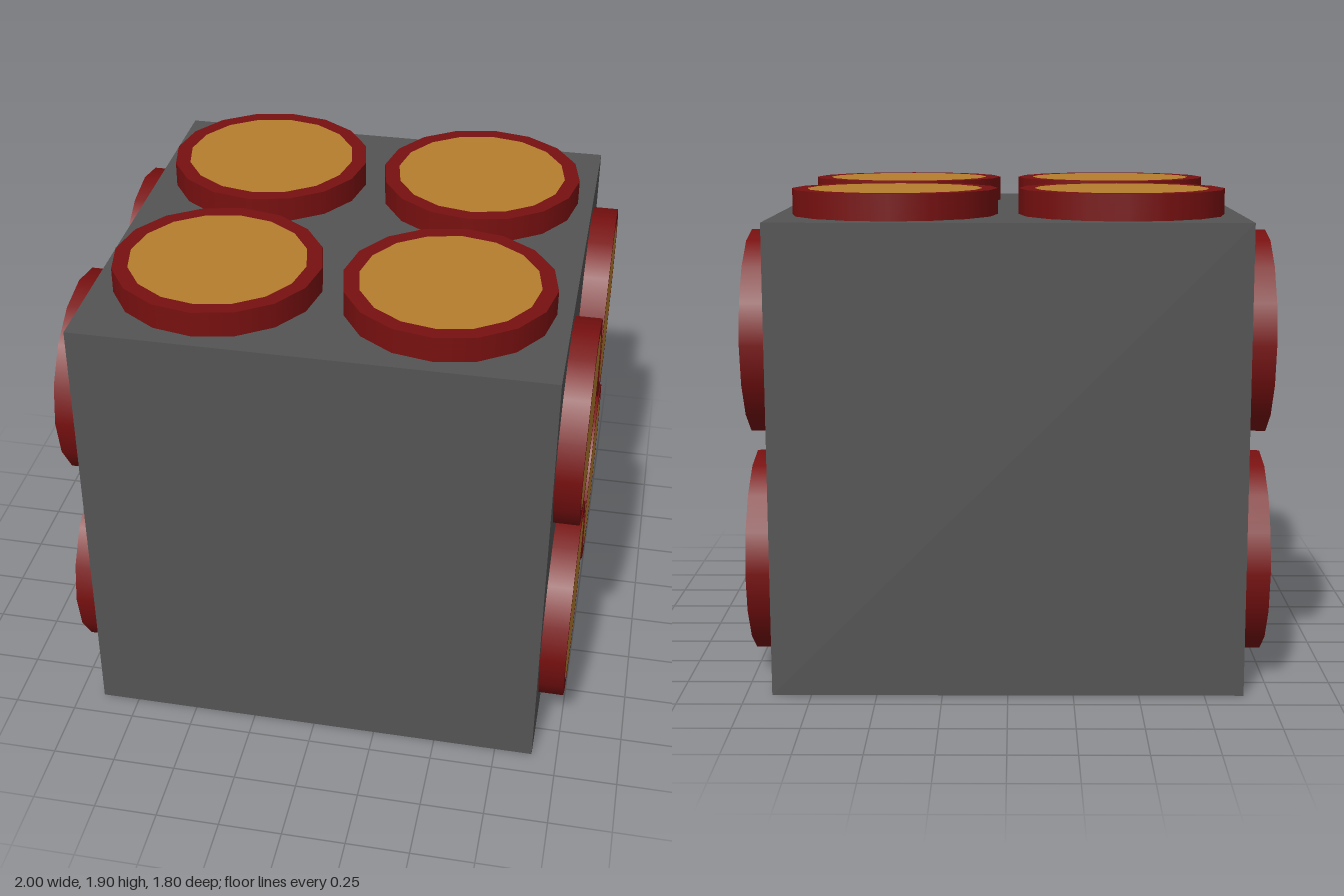
import * as THREE from 'three';

const BODY = 1.8, OUTER = 0.4, INNER = 0.34, DEPTH = 0.1, SPACING = 0.44, SIDES = 16;

const bodyMat = new THREE.MeshStandardMaterial({ color: 0x545454 });
const rimMat = new THREE.MeshStandardMaterial({ color: 0x781010 });
const faceMat = new THREE.MeshStandardMaterial({ color: 0xb47e2e });

function part(name, geometry, material) {
  const mesh = new THREE.Mesh(geometry, material);
  mesh.name = name;
  return mesh;
}

// Round disc standing on y = 0: red wall and border, gold centre flush with the border
function createDisc() {
  const disc = new THREE.Group();
  disc.name = 'disc';
  const wall = new THREE.CylinderGeometry(OUTER, OUTER, DEPTH, SIDES, 1, true).translate(0, DEPTH / 2, 0);
  const border = new THREE.RingGeometry(INNER, OUTER, SIDES).rotateX(-Math.PI / 2).translate(0, DEPTH, 0);
  const centre = new THREE.CircleGeometry(INNER, SIDES).rotateX(-Math.PI / 2).translate(0, DEPTH, 0);
  disc.add(part('discWall', wall, rimMat), part('discBorder', border, rimMat), part('discCentre', centre, faceMat));
  return disc;
}

// Two by two discs on one face of the block, facing outward along local +y
function createPanel(name, tilt) {
  const panel = new THREE.Group();
  panel.name = name;
  for (const x of [-SPACING, SPACING]) {
    for (const z of [-SPACING, SPACING]) {
      const disc = createDisc();
      disc.position.set(x, BODY / 2, z);
      panel.add(disc);
    }
  }
  panel.position.y = BODY / 2;
  panel.rotation.z = tilt;
  return panel;
}

export function createModel() {
  const model = new THREE.Group();
  model.name = 'discBlock';

  // Plain cube body
  const body = part('body', new THREE.BoxGeometry(BODY, BODY, BODY), bodyMat);
  body.position.y = BODY / 2;

  // Discs on the top and both sides; front, back and underside stay bare
  model.add(
    body,
    createPanel('topDiscs', 0),
    createPanel('leftDiscs', -Math.PI / 2),
    createPanel('rightDiscs', Math.PI / 2),
  );
  return model;
}
